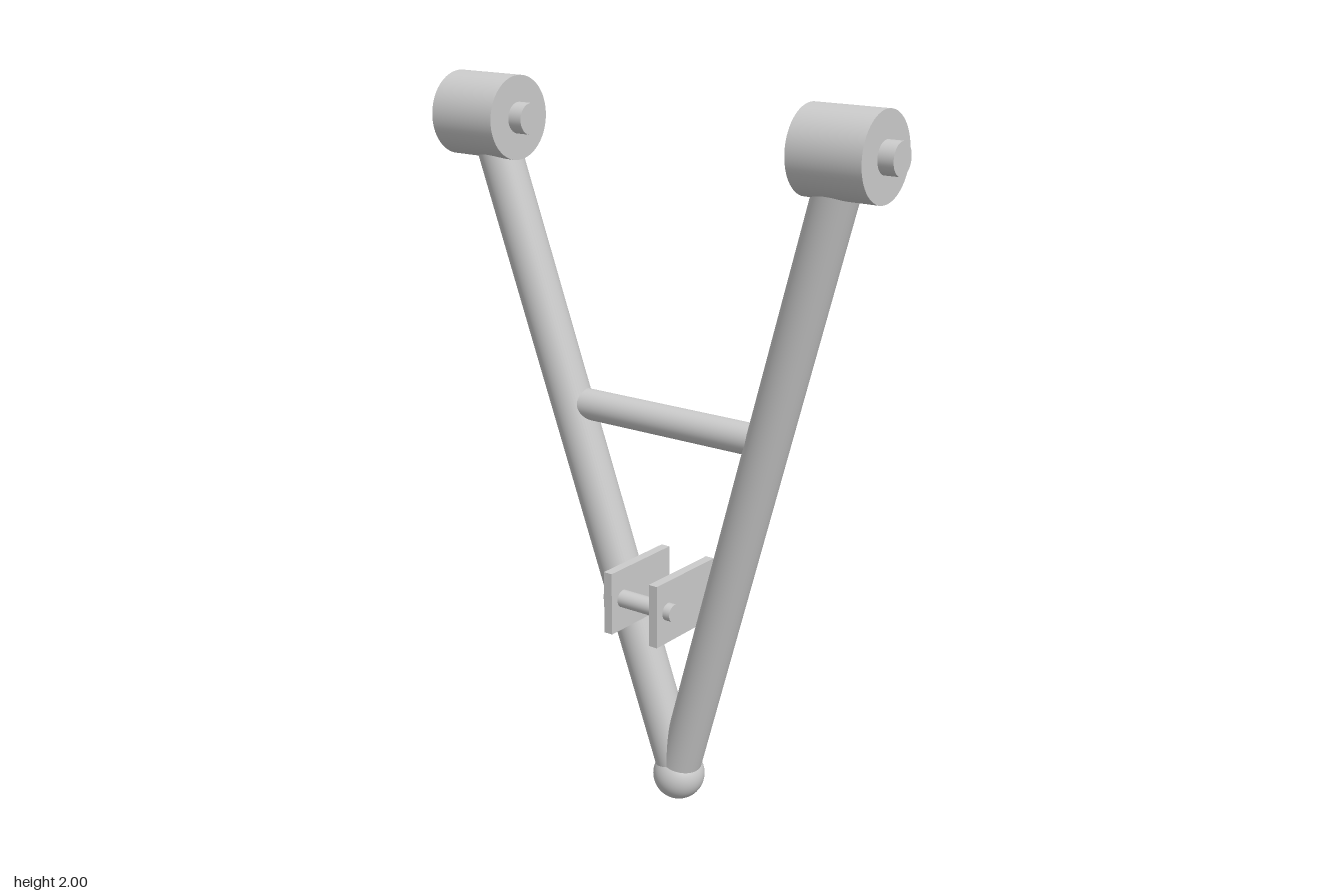
import * as THREE from 'three';

const material = new THREE.MeshStandardMaterial({ color: 0xcccccc });

function add(parent, name, geometry, x = 0, y = 0, z = 0) {
  const mesh = new THREE.Mesh(geometry, material);
  mesh.name = name;
  mesh.position.set(x, y, z);
  parent.add(mesh);
  return mesh;
}

// Solid round bar between two points
function rod(parent, name, from, to, radius, segments = 48) {
  const a = new THREE.Vector3(...from);
  const b = new THREE.Vector3(...to);
  const dir = b.clone().sub(a);
  const mesh = add(parent, name, new THREE.CylinderGeometry(radius, radius, dir.length(), segments));
  mesh.position.copy(a).add(b).multiplyScalar(0.5);
  mesh.quaternion.setFromUnitVectors(new THREE.Vector3(0, 1, 0), dir.normalize());
  return mesh;
}

export function createModel() {
  const model = new THREE.Group();
  model.name = 'controlArm';

  for (const [side, s] of [['left', 1], ['right', -1]]) {
    // Main tube of the V, ending at the ball joint
    rod(model, side + 'ArmTube', [s * 0.008, 0.11, -0.072], [s * 0.552, 1.89, 0.03], 0.058);

    // Pivot bushing with its protruding inner sleeve
    rod(model, side + 'Bushing', [s * 0.45, 1.89, 0.03], [s * 0.655, 1.89, 0.03], 0.11, 64);
    rod(model, side + 'InnerSleeve', [s * 0.408, 1.89, 0.03], [s * 0.697, 1.89, 0.03], 0.041);

    // Shock mount plate
    add(model, side + 'MountPlate', new THREE.BoxGeometry(0.026, 0.174, 0.257), s * 0.075, 0.648, 0.018);
  }

  // Cross brace, its ends buried in the tubes
  rod(model, 'crossBrace', [-0.3, 1.13, -0.019], [0.3, 1.13, -0.019], 0.042);

  // Pin through the mount plates
  rod(model, 'mountPin', [-0.11, 0.65, 0.098], [0.11, 0.65, 0.098], 0.024, 32);

  // Ball joint at the tip
  add(model, 'ballJoint', new THREE.SphereGeometry(0.073, 48, 32), 0, 0.073, -0.074);

  return model;
}
